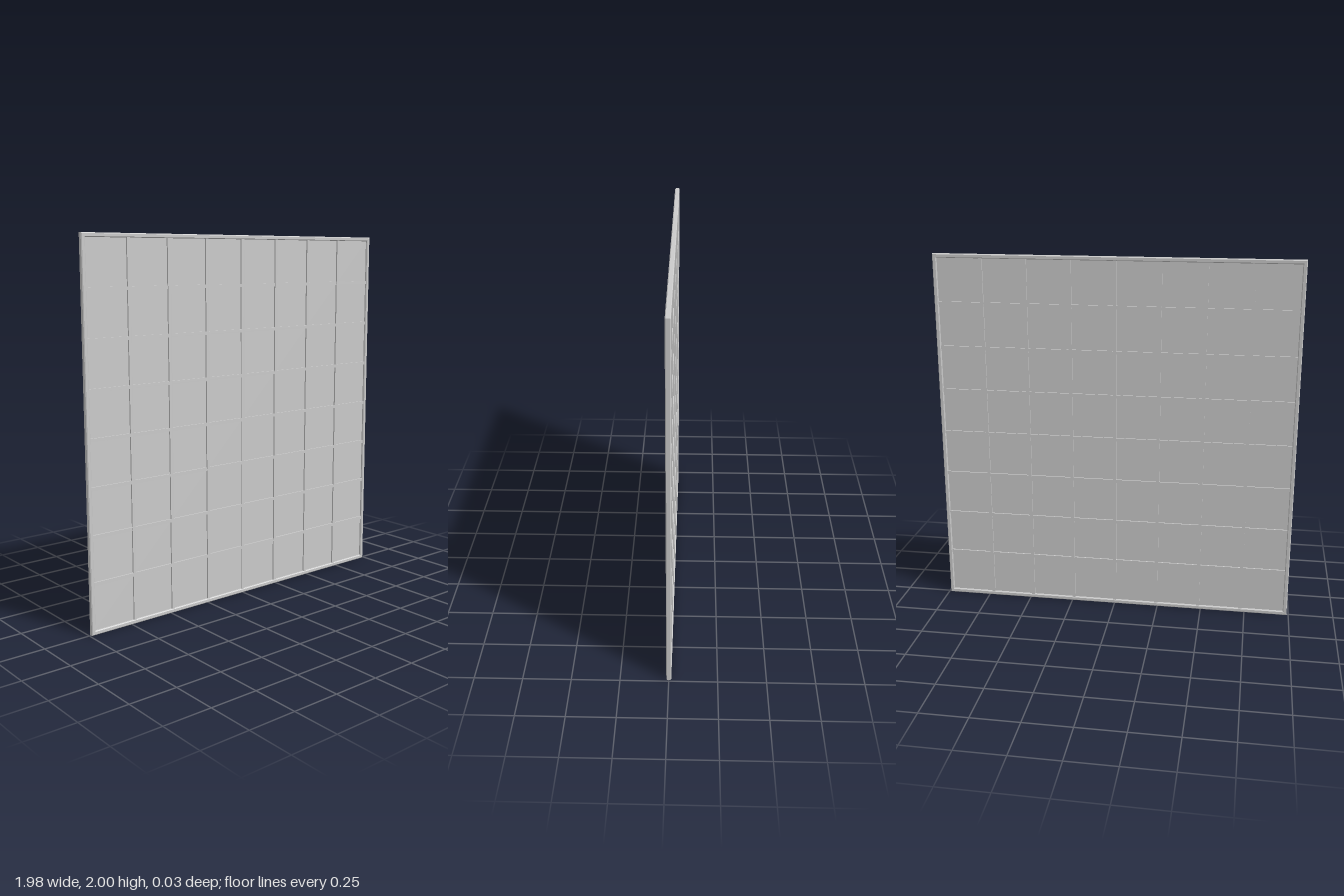
import * as THREE from 'three';

const W = 1.98, H = 2, DEPTH = 0.026;   // outer size
const RAIL = 0.022, BAR = 0.018, N = 8; // frame width, bar width, panes per side

export function createModel() {
  const group = new THREE.Group();
  const material = new THREE.MeshStandardMaterial({ color: 0xcccccc, flatShading: true });
  const add = (name, geometry, x = 0, y = H / 2, z = 0) => {
    const mesh = new THREE.Mesh(geometry, material);
    mesh.name = name;
    mesh.position.set(x, y, z);
    group.add(mesh);
  };

  const rectangle = (path, w, h) => path
    .moveTo(-w / 2, -h / 2).lineTo(w / 2, -h / 2)
    .lineTo(w / 2, h / 2).lineTo(-w / 2, h / 2).closePath();

  // Outer frame with slightly bevelled edges
  const innerW = W - 2 * RAIL, innerH = H - 2 * RAIL;
  const shape = new THREE.Shape(), hole = new THREE.Path();
  rectangle(shape, W, H);
  rectangle(hole, innerW, innerH);
  shape.holes.push(hole);
  const bevel = 0.004;
  const frame = new THREE.ExtrudeGeometry(shape, {
    depth: DEPTH - 2 * bevel, bevelThickness: bevel, bevelSize: bevel,
    bevelOffset: -bevel, bevelSegments: 1,
  });
  frame.center();
  add('frame', frame);

  // Thin sheet of panes in the middle plane
  add('panes', new THREE.BoxGeometry(innerW + 0.01, innerH + 0.01, 0.004));

  // Crossing glazing bars, showing on both faces
  for (let i = 1; i < N; i++) {
    const t = i / N - 0.5;
    add('verticalBar', new THREE.BoxGeometry(BAR, innerH + 0.01, 0.021), t * innerW);
    add('horizontalBar', new THREE.BoxGeometry(innerW + 0.01, BAR, 0.02), 0, H / 2 + t * innerH);
  }
  return group;
}
